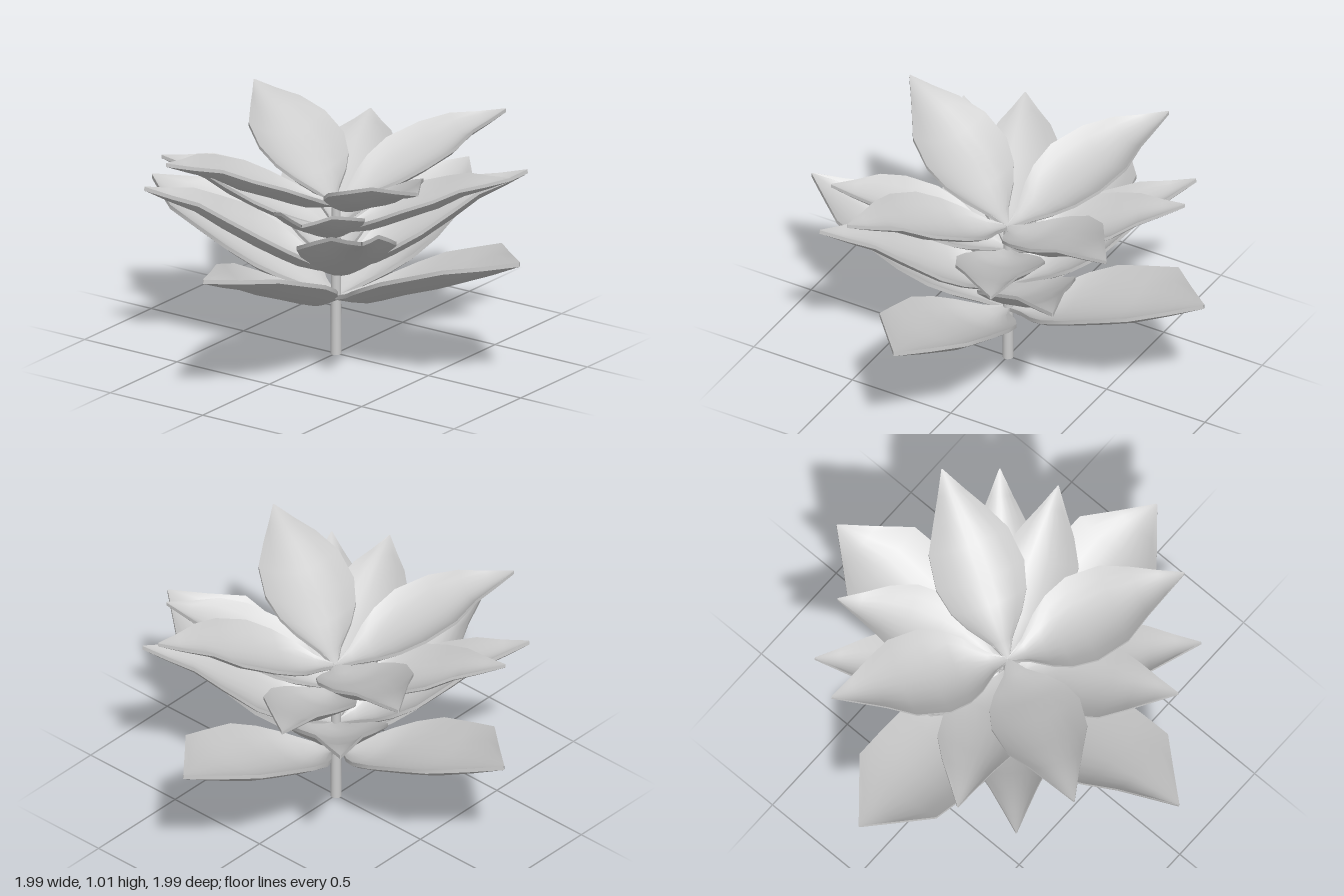
import * as THREE from 'three';
import { toCreasedNormals } from 'three/addons/utils/BufferGeometryUtils.js';

const material = new THREE.MeshStandardMaterial({ color: 0xcccccc, side: THREE.DoubleSide });

// Petal cross-sections: distance out, height of midrib, half width, lift of the rims
const SECTIONS = [
  [0, 0, 0.008, 0],
  [0.1, 0.01, 0.065, 0.035],
  [0.2, 0.03, 0.155, 0.075],
  [0.29, 0.065, 0.212, 0.09],
  [0.42, 0.12, 0.248, 0.1],
  [0.6, 0.185, 0.237, 0.1],
  [0.74, 0.245, 0.225, 0.09],
  [0.87, 0.3, 0.113, 0.045],
  [1, 0.362, 0.003, 0],
];
const THICKNESS = 0.02;
const STEPS = 8;
const FULL = 2; // taper that leaves a side at its full width

// A cupped petal growing along +z; each side narrows to the tip at its own taper
function petalGeometry(leftTaper, rightTaper) {
  const positions = [];
  const index = [];
  const ring = 2 * (STEPS + 1);
  for (const [z, y, width, lift] of SECTIONS) {
    const side = (taper) => Math.min(width, Math.max(0.003, taper * (1 - z)));
    const left = side(leftTaper);
    const right = side(rightTaper);
    // Narrowed sections are flatter across
    const flat = 0.7 * (1 - (left + right) / (2 * width));
    for (let k = 0; k < ring; k++) {
      const top = k <= STEPS;
      const t = -1 + (2 * (top ? k : ring - 1 - k)) / STEPS;
      const cup = lift * (flat + (1 - flat) * t * t);
      positions.push(t * (t > 0 ? left : right), y + cup + (top ? THICKNESS : 0), z);
    }
  }
  for (let i = 0; i < SECTIONS.length - 1; i++) {
    for (let k = 0; k < ring; k++) {
      const a = i * ring + k, b = i * ring + ((k + 1) % ring);
      const c = b + ring, d = a + ring;
      index.push(a, d, c, a, c, b);
    }
  }
  const geometry = new THREE.BufferGeometry();
  geometry.setAttribute('position', new THREE.Float32BufferAttribute(positions, 3));
  geometry.setIndex(index);
  return toCreasedNormals(geometry, 0.7);
}

// Tiers of four petals, from the bottom up; angles in degrees
const TIERS = [
  { name: 'lowerPetals', y: 0.25, scale: 0.995, turn: 0, tilt: 0, left: FULL, right: FULL },
  { name: 'secondPetals', y: 0.375, scale: 0.893, turn: 43.5, tilt: 6.6, left: 0.45, right: 0.45 },
  { name: 'thirdPetals', y: 0.565, scale: 0.783, turn: 24.6, tilt: 0.5, left: 0.48, right: 0.65 },
  { name: 'topPetals', y: 0.685, scale: 0.831, turn: -28.4, tilt: 0.7, left: 0.56, right: 0.56 },
];

export function createModel() {
  const model = new THREE.Group();
  model.name = 'flower';

  // Stem running up through the tiers
  const stem = new THREE.Mesh(new THREE.CylinderGeometry(0.02, 0.025, 0.69, 16), material);
  stem.name = 'stem';
  stem.position.y = 0.345;
  model.add(stem);

  for (const tier of TIERS) {
    const group = new THREE.Group();
    group.name = tier.name;
    group.position.y = tier.y;
    const shared = petalGeometry(tier.left, tier.right);
    for (let k = 0; k < 4; k++) {
      // The front lower petal has one straight side
      const frontLower = tier === TIERS[0] && k === 0;
      const petal = new THREE.Mesh(frontLower ? petalGeometry(FULL, 0.45) : shared, material);
      petal.name = 'petal';
      petal.scale.setScalar(tier.scale);
      petal.rotation.order = 'YXZ';
      petal.rotation.y = THREE.MathUtils.degToRad(tier.turn + 90 * k);
      petal.rotation.x = -THREE.MathUtils.degToRad(tier.tilt);
      group.add(petal);
    }
    model.add(group);
  }
  return model;
}
